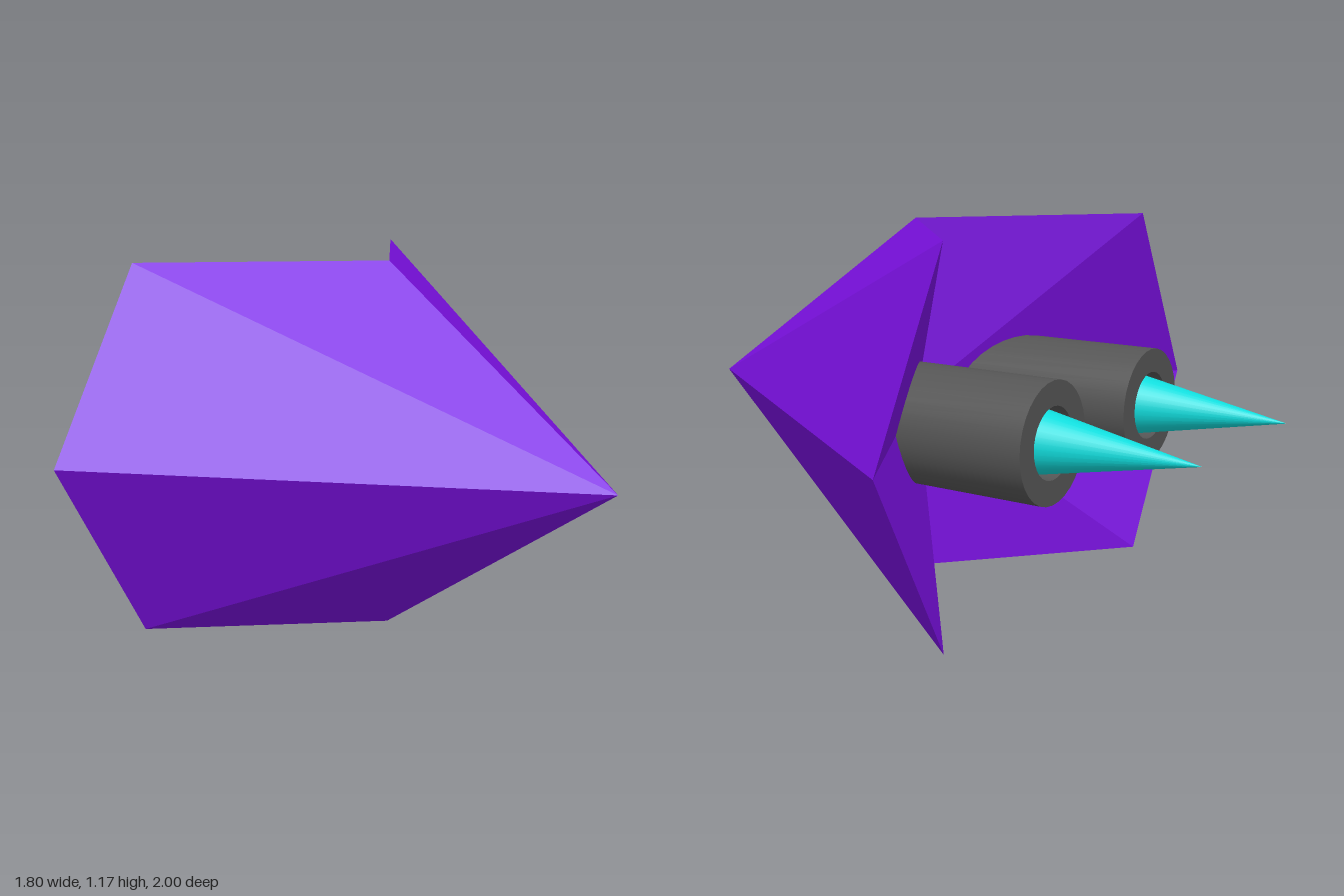
import * as THREE from 'three';
import { toCreasedNormals } from 'three/addons/utils/BufferGeometryUtils.js';

const paint = (color, extra = {}) => new THREE.MeshStandardMaterial({ color, ...extra });

// Faceted arrowhead hull: outer fan to the nose, folded notch at the back
function hullGeometry() {
  const mid = 0.585, zNotch = 0.155, zWing = -0.36;
  const nose = [0, mid, 1];
  const notch = [0, mid, zNotch];
  // rim of one wing, from top centre round the tip to bottom centre
  const rim = [
    [0, 2 * mid, zNotch],
    [mid, 2 * mid, zWing],
    [0.9, mid, zWing],
    [mid, 0, zWing],
    [0, 0, zNotch],
  ];
  const positions = [];
  for (const side of [1, -1]) {
    const add = (a, b, c) => {
      const order = side > 0 ? [a, b, c] : [a, c, b];
      for (const [x, y, z] of order) positions.push(side * x, y, z);
    };
    for (let i = 0; i < rim.length - 1; i++) {
      add(nose, rim[i + 1], rim[i]); // outer facet
      add(notch, rim[i], rim[i + 1]); // inner facet
    }
  }
  const geometry = new THREE.BufferGeometry();
  geometry.setAttribute('position', new THREE.Float32BufferAttribute(positions, 3));
  geometry.computeVertexNormals();
  return geometry;
}

// Engine housing with a recessed nozzle, opening towards the back
function housingGeometry() {
  const profile = [
    [0, -0.1], [0.183, -0.1], [0.183, 0.545], [0.108, 0.545], [0.108, 0.44], [0, 0.44],
  ].map(([r, h]) => new THREE.Vector2(r, h));
  const geometry = new THREE.LatheGeometry(profile, 32).rotateX(-Math.PI / 2);
  return toCreasedNormals(geometry, Math.PI / 5);
}

export function createModel() {
  const model = new THREE.Group();
  model.name = 'arrowCraft';

  const hull = new THREE.Mesh(
    hullGeometry(),
    paint(0x7a10e0, { flatShading: true, side: THREE.DoubleSide })
  );
  hull.name = 'hull';
  model.add(hull);

  // Twin engines, each a housing with a pointed flame
  const housing = housingGeometry();
  const flameBase = -0.45, flameTip = -1;
  const flame = new THREE.ConeGeometry(0.106, flameBase - flameTip, 32)
    .rotateX(-Math.PI / 2)
    .translate(0, 0, (flameBase + flameTip) / 2);
  const housingPaint = paint(0x555555);
  const flamePaint = paint(0x10dcdc);

  for (const [side, label] of [[1, 'left'], [-1, 'right']]) {
    const engine = new THREE.Group();
    engine.name = `${label}Engine`;
    const housingMesh = new THREE.Mesh(housing, housingPaint);
    housingMesh.name = `${label}EngineHousing`;
    const flameMesh = new THREE.Mesh(flame, flamePaint);
    flameMesh.name = `${label}Flame`;
    engine.add(housingMesh, flameMesh);
    engine.position.set(side * 0.305, 0.585, 0);
    model.add(engine);
  }
  return model;
}
